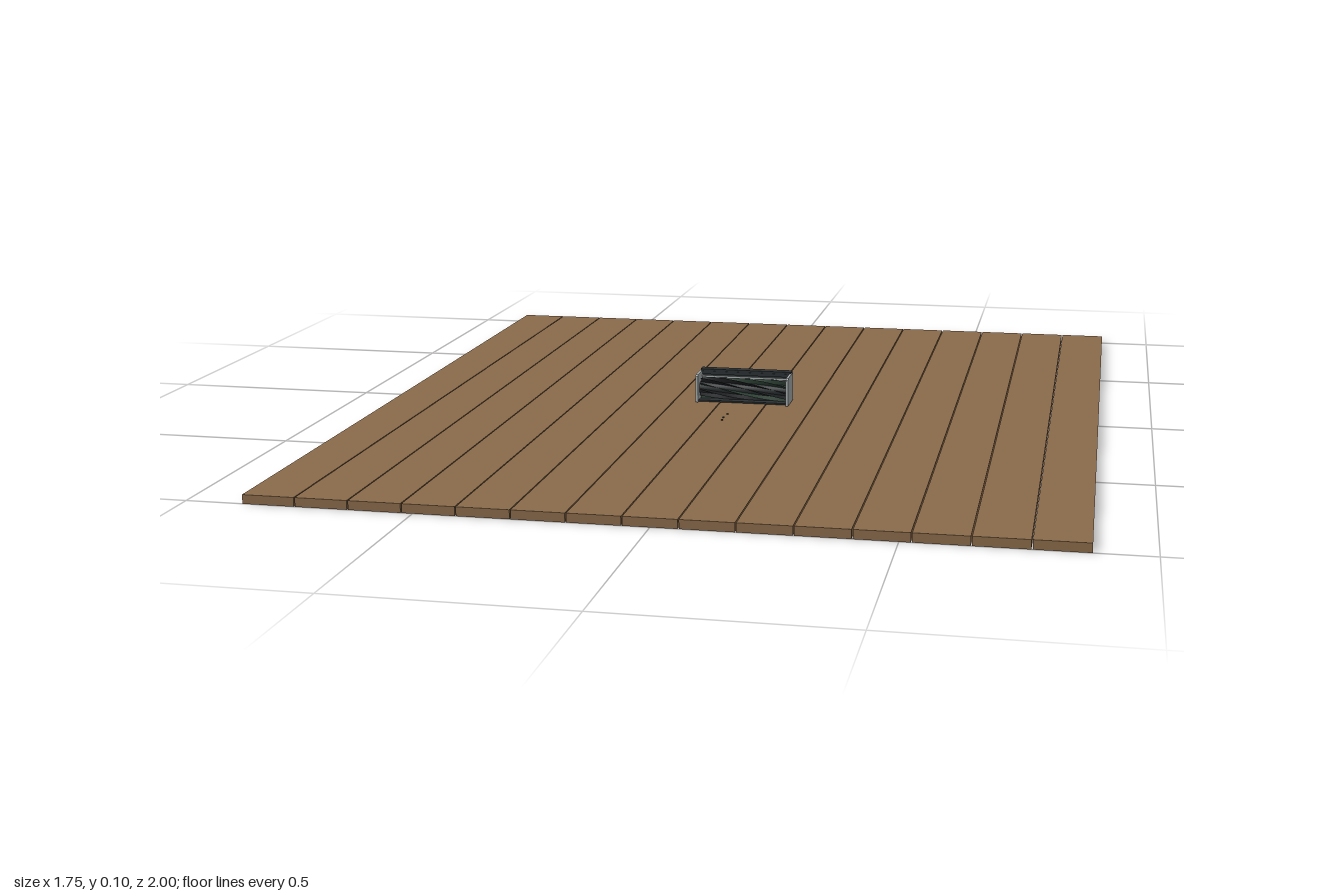
import * as THREE from 'three';

const material = (name, color, side = THREE.FrontSide) => {
  const m = new THREE.MeshStandardMaterial({ color, side });
  m.name = name;
  return m;
};

export function createModel() {
  const wood = material('brown wood', 0x8b6b4b);
  const steel = material('light grey metal', 0xaab0b0);
  const dark = material('dark housing', 0x2c3133);
  const black = material('black bristles', 0x1b1e20, THREE.DoubleSide);
  const green = material('dark green bristles', 0x2c4034, THREE.DoubleSide);

  const model = new THREE.Group();
  model.name = 'rollerOnPlankFloor';

  const add = (parent, name, geometry, mat, x = 0, y = 0, z = 0) => {
    const mesh = new THREE.Mesh(geometry, mat);
    mesh.name = name;
    mesh.position.set(x, y, z);
    parent.add(mesh);
    return mesh;
  };
  const box = (parent, name, w, h, d, mat, x, y, z) =>
    add(parent, name, new THREE.BoxGeometry(w, h, d), mat, x, y, z);

  // Floor of fifteen long planks with narrow open seams
  const floor = new THREE.Group();
  floor.name = 'plankFloor';
  model.add(floor);
  const pitch = 0.1166;
  for (let i = -7; i <= 7; i++) {
    box(floor, 'plank', pitch - 0.0026, 0.02, 2, wood, i * pitch, 0.01, 0);
  }

  // Housing: back panel, top lip and inner tray
  const unit = new THREE.Group();
  unit.name = 'rollerUnit';
  model.add(unit);
  box(unit, 'backPanel', 0.222, 0.066, 0.006, dark, 0, 0.058, -0.043);
  box(unit, 'topLip', 0.23, 0.006, 0.024, dark, 0, 0.093, -0.036);
  box(unit, 'lipFront', 0.222, 0.008, 0.004, dark, 0, 0.087, -0.025);
  box(unit, 'bottomTray', 0.222, 0.004, 0.066, dark, 0, 0.025, -0.01);
  box(unit, 'innerRail', 0.222, 0.004, 0.005, steel, 0, 0.079, -0.02);

  // Flat end plates, chamfered at the upper front corner
  const plate = new THREE.Shape([
    [-0.045, 0.022], [0.03, 0.022], [0.03, 0.088], [0.025, 0.092], [-0.045, 0.092],
  ].map(([z, y]) => new THREE.Vector2(-z, y)));
  for (const side of [-1, 1]) {
    const geometry = new THREE.ExtrudeGeometry(plate, { depth: 0.006, bevelEnabled: false });
    geometry.rotateY(Math.PI / 2);
    add(unit, side < 0 ? 'rightEndPlate' : 'leftEndPlate', geometry, steel, side * 0.114 - 0.003);
  }

  // Brush roller: core with twisted bristle rows
  const roller = new THREE.Group();
  roller.name = 'brushRoller';
  roller.position.set(0, 0.053, -0.003);
  unit.add(roller);
  const core = new THREE.CylinderGeometry(0.016, 0.016, 0.222, 20);
  core.rotateZ(Math.PI / 2);
  add(roller, 'rollerCore', core, dark);
  const rows = 10;
  for (let i = 0; i < rows; i++) {
    const geometry = new THREE.PlaneGeometry(0.216, 0.012, 24, 1);
    const p = geometry.attributes.position;
    for (let v = 0; v < p.count; v++) {
      const radius = 0.021 + p.getY(v);
      const angle = i * Math.PI * 2 / rows + p.getX(v) * 9;
      p.setXYZ(v, p.getX(v), Math.cos(angle) * radius, Math.sin(angle) * radius);
    }
    geometry.computeVertexNormals();
    add(roller, 'bristleRow', geometry, i % 3 ? black : green);
  }

  // Crumbs lying in front of the roller
  for (const [x, z] of [[-0.016, 0.13], [-0.019, 0.165], [-0.017, 0.19]]) {
    box(model, 'crumb', 0.004, 0.002, 0.004, dark, x, 0.021, z);
  }
  return model;
}
